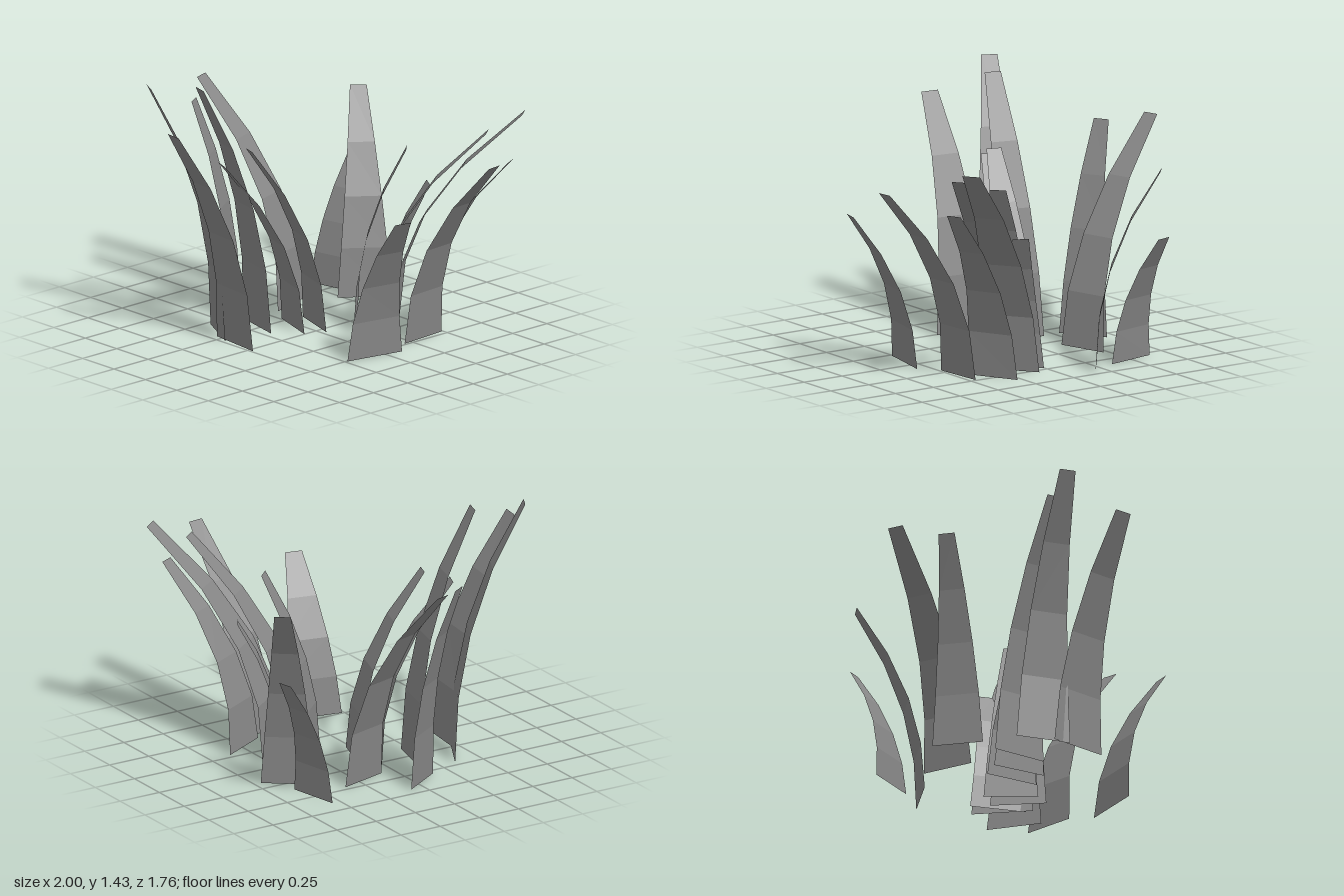
import * as THREE from 'three';

const SEGMENTS = 4;

// One flat blade: base edge on the ground, tip edge parallel to it, bending outward with height.
// base and tip are [x1, z1, x2, z2].
function makeBlade(base, tip, height, material) {
  const positions = [];
  const index = [];
  for (let i = 0; i <= SEGMENTS; i++) {
    const t = i / SEGMENTS;
    const bend = Math.pow(t, 2.15);
    const taper = 1 - Math.pow(t, 1.15);
    const mid = k => {
      const b = (base[k] + base[k + 2]) / 2;
      const e = (tip[k] + tip[k + 2]) / 2;
      return b + (e - b) * bend;
    };
    const half = k => {
      const b = (base[k + 2] - base[k]) / 2;
      const e = (tip[k + 2] - tip[k]) / 2;
      return e + (b - e) * taper;
    };
    for (const side of [-1, 1]) {
      positions.push(mid(0) + side * half(0), height * t, mid(1) + side * half(1));
    }
    if (i < SEGMENTS) {
      const a = i * 2;
      index.push(a, a + 1, a + 3, a, a + 3, a + 2);
    }
  }
  const geometry = new THREE.BufferGeometry();
  geometry.setAttribute('position', new THREE.Float32BufferAttribute(positions, 3));
  geometry.setIndex(index);
  const flat = geometry.toNonIndexed();
  flat.computeVertexNormals();
  return new THREE.Mesh(flat, material);
}

export function createModel() {
  const group = new THREE.Group();
  group.name = 'grassTuft';
  const grass = new THREE.MeshStandardMaterial({ color: 0x888888, side: THREE.DoubleSide, flatShading: true });
  grass.name = 'grass grey';

  // Each blade: base edge, tip edge, height
  const clumps = {
    leftClump: [
      [[0.465, -0.49, 0.487, -0.2], [0.99, -0.433, 1.0, -0.345], 1.08],
      [[0.575, -0.1, 0.505, 0.235], [0.857, 0.095, 0.835, 0.19], 0.84],
    ],
    rightClump: [
      [[-0.47, -0.36, -0.39, -0.08], [-1.0, -0.11, -0.975, -0.025], 1.2],
      [[-0.69, -0.08, -0.54, 0.155], [-0.835, 0.11, -0.79, 0.185], 1.15],
    ],
    backRightClump: [
      [[-0.64, -0.55, -0.35, -0.61], [-0.6, -0.79, -0.515, -0.81], 0.705],
      [[-0.17, -0.71, -0.345, -0.475], [-0.51, -0.84, -0.567, -0.77], 1.09],
    ],
    backLeftClump: [
      [[0.08, -0.54, 0.28, -0.27], [0.71, -0.88, 0.77, -0.8], 1.23],
      [[0.28, -0.62, 0.425, -0.35], [0.75, -0.755, 0.787, -0.68], 0.99],
      [[0.07, -0.39, 0.26, -0.15], [0.645, -0.67, 0.7, -0.6], 1.15],
      [[0.0, -0.47, 0.265, -0.31], [0.205, -0.62, 0.28, -0.575], 0.77],
      [[-0.035, -0.335, 0.167, -0.12], [0.235, -0.45, 0.298, -0.385], 1.01],
    ],
    frontClump: [
      [[-0.47, 0.34, -0.2, 0.48], [-0.545, 0.74, -0.465, 0.78], 1.43],
      [[-0.295, 0.455, 0.03, 0.49], [-0.24, 0.865, -0.14, 0.877], 1.25],
      [[-0.43, 0.14, -0.13, 0.21], [-0.405, 0.51, -0.315, 0.533], 1.4],
      [[-0.285, -0.01, 0.0, 0.085], [-0.318, 0.425, -0.235, 0.455], 0.975],
      [[-0.23, -0.115, 0.055, -0.025], [-0.25, 0.285, -0.17, 0.31], 1.04],
    ],
  };

  for (const [name, blades] of Object.entries(clumps)) {
    const clump = new THREE.Group();
    clump.name = name;
    blades.forEach(([base, tip, height], i) => {
      const blade = makeBlade(base, tip, height, grass);
      blade.name = 'blade' + (i + 1);
      clump.add(blade);
    });
    group.add(clump);
  }
  return group;
}
